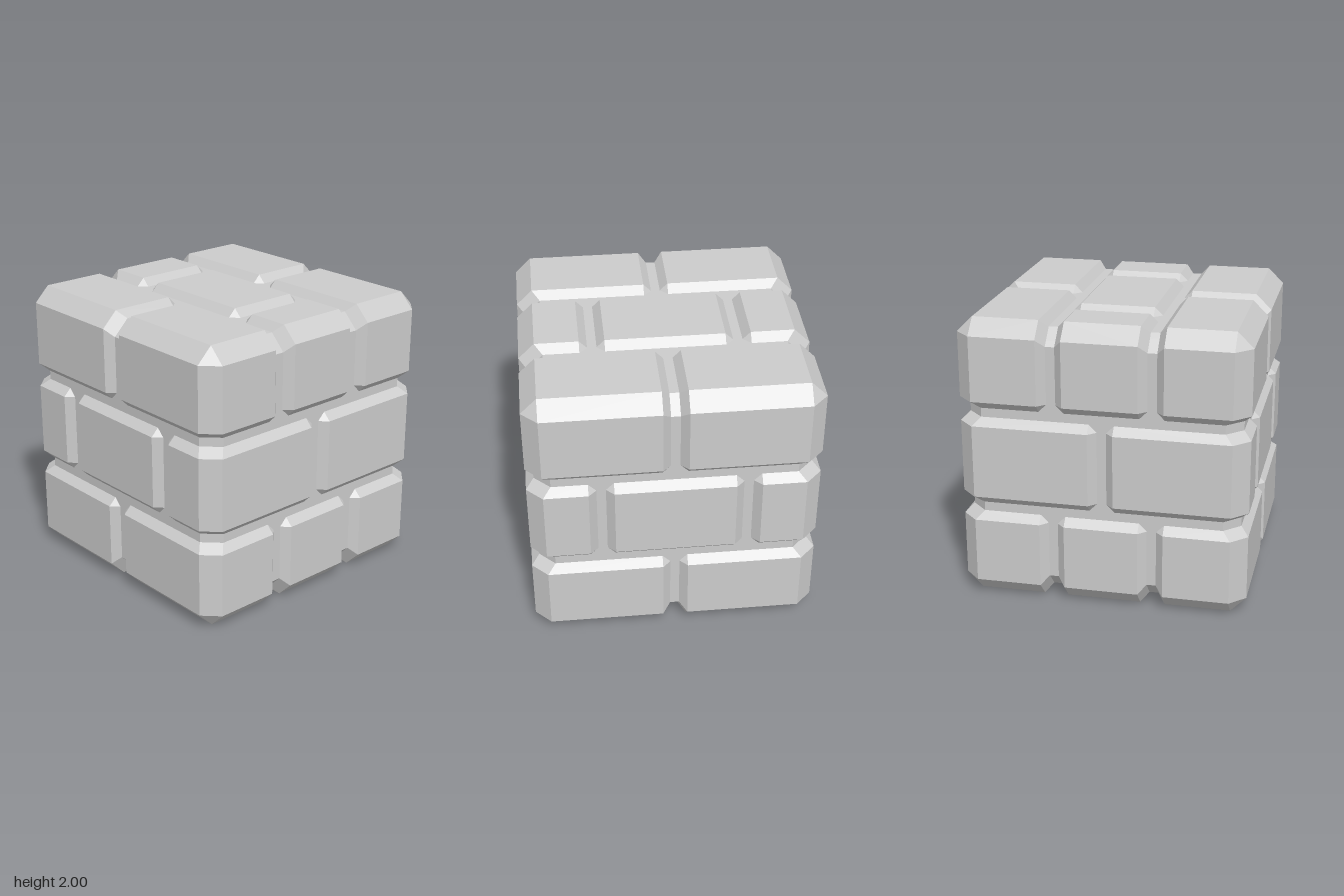
import * as THREE from 'three';
import { ConvexGeometry } from 'three/addons/geometries/ConvexGeometry.js';

const DEPTH = 0.055;      // how far bricks stand out, and their bevel width
const CHAMFER = 0.11;     // chamfer along the edges of the whole block
const GAP = 0.032;        // half the mortar gap
const ROW = 0.345;        // mortar line between rows

// Three corners of a chamfered cube corner: one axis full, the other two drawn in
function cornerPoints(full, inset) {
  return [0, 1, 2].map((a) => new THREE.Vector3(...full.map((v, i) => (i === a ? v : inset[i]))));
}

// All sign combinations of a box corner, as indices into [min, max] spans
const CORNERS = [];
for (let i = 0; i < 8; i++) CORNERS.push([i & 1, (i >> 1) & 1, (i >> 2) & 1]);

function coreGeometry() {
  const r = 1 - DEPTH;
  const points = CORNERS.flatMap((c) => {
    const s = c.map((k) => (k ? 1 : -1));
    return cornerPoints(s.map((v) => v * r), s.map((v) => v * (r - CHAMFER)));
  });
  return new ConvexGeometry(points);
}

// A brick spans [min, max] on each axis; a limit of +-1 is an outer face, others border mortar
function brickGeometry(spans) {
  const points = [];
  for (const c of CORNERS) {
    const p = c.map((k, a) => spans[a][k]);
    const s = c.map((k) => (k ? 1 : -1));
    const outer = p.map((v) => Math.abs(v) === 1);
    const count = outer.filter(Boolean).length;
    if (count === 0) {
      points.push(new THREE.Vector3(...p));
    } else if (count === 2) {
      // On a block edge: chamfer at full height, then the bevel down to the mortar
      for (const drop of [0, DEPTH]) {
        for (let a = 0; a < 3; a++) {
          if (!outer[a]) continue;
          points.push(new THREE.Vector3(...p.map((v, i) => {
            if (!outer[i]) return v - s[i] * (DEPTH - drop);
            return v - s[i] * (drop + (i === a ? 0 : CHAMFER));
          })));
        }
      }
    } else {
      // Flat face corner or block corner
      const w = count === 3 ? CHAMFER : DEPTH;
      points.push(...cornerPoints(p, p.map((v, i) => v - s[i] * w)));
    }
  }
  return new ConvexGeometry(points);
}

export function createModel() {
  const group = new THREE.Group();
  const stone = new THREE.MeshStandardMaterial({ color: 0xcccccc });
  stone.name = 'grey stone';

  const add = (name, geometry) => {
    const mesh = new THREE.Mesh(geometry, stone);
    mesh.name = name;
    mesh.position.y = 1;
    group.add(mesh);
  };

  const low = [-1, -ROW - GAP];
  const middle = [-ROW + GAP, ROW - GAP];
  const high = [ROW + GAP, 1];
  const halves = [[-1, -GAP], [GAP, 1]];
  const thirds = [[-1, -0.5 - GAP], [-0.5 + GAP, 0.5 - GAP], [0.5 + GAP, 1]];

  add('mortarCore', coreGeometry());

  // Top and bottom courses: three rows, the middle one offset by half a brick
  for (const [course, y] of [['bottom', low], ['top', high]]) {
    for (const z of [low, high]) {
      for (const x of halves) add(`${course}CornerBrick`, brickGeometry([x, y, z]));
    }
    for (const x of thirds) add(`${course}MiddleBrick`, brickGeometry([x, y, middle]));
  }

  // Middle course: corner bricks wrap the sides, full bricks sit at front and back
  for (const z of halves) {
    for (const x of thirds) add('middleCourseBrick', brickGeometry([x, middle, z]));
  }
  return group;
}
